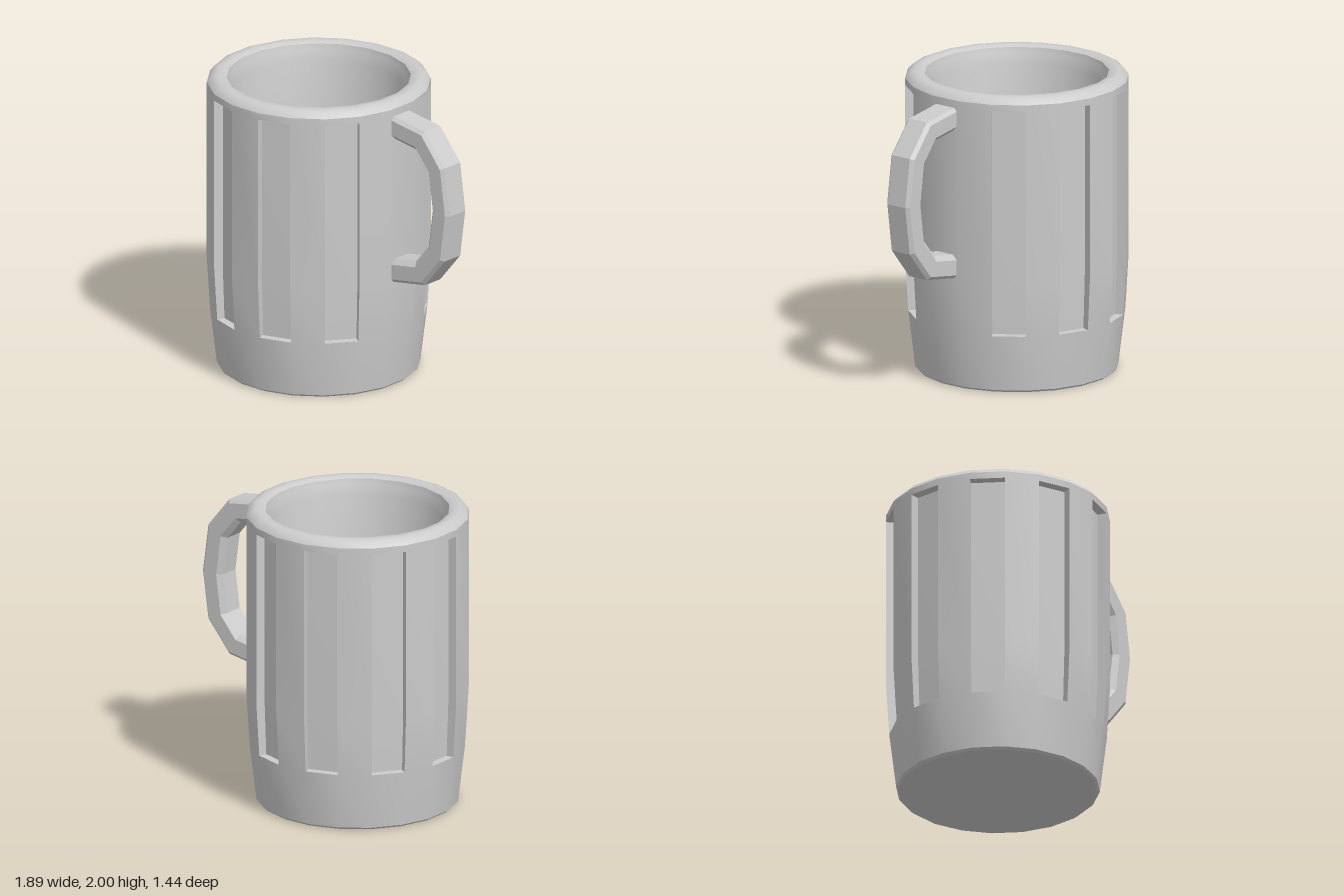
import * as THREE from 'three';
import { toCreasedNormals } from 'three/addons/utils/BufferGeometryUtils.js';

const SIDES = 20;
const STEP = (Math.PI * 2) / SIDES;
const CENTRE_X = -0.23;
const HANDLE_ANGLE = STEP; // the handle sits on the facet 18 degrees towards the front

// Adds two triangles (skipping collapsed ones) for a counter-clockwise quad.
function quad(out, a, b, c, d) {
  for (const [p, q, r] of [[a, b, c], [a, c, d]]) {
    if (p.distanceTo(q) < 1e-6 || q.distanceTo(r) < 1e-6 || r.distanceTo(p) < 1e-6) continue;
    for (const v of [p, q, r]) out.push(v.x, v.y, v.z);
  }
}

function makeMesh(name, positions, crease) {
  const geometry = new THREE.BufferGeometry();
  geometry.setAttribute('position', new THREE.Float32BufferAttribute(positions, 3));
  const mesh = new THREE.Mesh(
    toCreasedNormals(geometry, crease),
    new THREE.MeshStandardMaterial({ color: 0xcccccc })
  );
  mesh.name = name;
  return mesh;
}

// Mug body: a 20-sided turned profile whose alternate facets hold sunken panels.
function createBody() {
  const profile = [
    [0, 0], [0.645, 0], [0.663, 0.015], [0.708, 0.39], [0.729, 0.75], [0.729, 1.91],
    [0.729, 1.955], [0.705, 1.985], [0.67, 2], [0.625, 2], [0.6, 1.985], [0.592, 1.95],
    [0.568, 1.88], [0.565, 0.75], [0.505, 0.12],
  ];
  // domed inner floor
  for (let i = 1; i <= 6; i++) {
    const r = 0.505 * (1 - i / 6);
    profile.push([r, 0.12 + 0.18 * (1 - (r / 0.505) ** 2)]);
  }
  const panelRows = [3, 4]; // profile segments covered by the panels
  const depths = { 3: 0.055, 4: 0.065, 5: 0.065 };
  const positions = [];
  const point = (row, angle) => new THREE.Vector3(
    profile[row][0] * Math.cos(angle), profile[row][1], profile[row][0] * Math.sin(angle));

  for (let k = 0; k < SIDES; k++) {
    const mid = k * STEP;
    const a0 = mid - STEP / 2;
    const a1 = mid + STEP / 2;
    const hasPanel = k % 2 === 1 && k !== 1; // no panel behind the handle
    const normal = new THREE.Vector3(Math.cos(mid), 0, Math.sin(mid));
    const sunk = (row, angle) => point(row, angle).addScaledVector(normal, -depths[row]);

    for (let i = 0; i < profile.length - 1; i++) {
      const corner = hasPanel && panelRows.includes(i) ? sunk : point;
      quad(positions, corner(i, a0), corner(i + 1, a0), corner(i + 1, a1), corner(i, a1));
      if (corner === sunk) {
        // side walls of the panel
        quad(positions, point(i, a0), point(i + 1, a0), sunk(i + 1, a0), sunk(i, a0));
        quad(positions, sunk(i, a1), sunk(i + 1, a1), point(i + 1, a1), point(i, a1));
      }
    }
    if (hasPanel) {
      // bottom and top ledges of the panel
      quad(positions, point(3, a0), sunk(3, a0), sunk(3, a1), point(3, a1));
      quad(positions, sunk(5, a0), point(5, a0), point(5, a1), sunk(5, a1));
    }
  }
  return makeMesh('mugBody', positions, THREE.MathUtils.degToRad(32));
}

// Handle: a chamfered section swept with mitred joints along an angular path.
function createHandle() {
  const path = [
    [0.66, 1.835], [0.95, 1.79], [1.09, 1.62], [1.13, 1.33],
    [1.09, 1.04], [0.95, 0.872], [0.66, 0.825],
  ].map(([s, y]) => new THREE.Vector2(s, y));
  const section = [
    [-0.075, 0.078], [0.075, 0.078], [0.098, 0.055], [0.098, -0.045],
    [0.065, -0.078], [-0.065, -0.078], [-0.098, -0.045], [-0.098, 0.055],
  ];
  const out = new THREE.Vector3(Math.cos(HANDLE_ANGLE), 0, Math.sin(HANDLE_ANGLE));
  const side = new THREE.Vector3(-out.z, 0, out.x);

  const rings = path.map((p, i) => {
    const before = p.clone().sub(path[Math.max(i - 1, 0)]).normalize();
    const after = path[Math.min(i + 1, path.length - 1)].clone().sub(p).normalize();
    const t = before.clone().add(after).normalize();
    const reference = i === 0 ? after : before;
    const miter = 1 / t.dot(reference);
    return section.map(([u, v]) => new THREE.Vector3()
      .addScaledVector(out, p.x - t.y * v * miter)
      .addScaledVector(side, u)
      .setY(p.y + t.x * v * miter));
  });

  const positions = [];
  const n = section.length;
  for (let i = 0; i < rings.length - 1; i++) {
    for (let j = 0; j < n; j++) {
      const m = (j + 1) % n;
      quad(positions, rings[i][j], rings[i][m], rings[i + 1][m], rings[i + 1][j]);
    }
  }
  const handle = makeMesh('handle', positions, 0.01);
  handle.material.flatShading = true;
  return handle;
}

export function createModel() {
  const mug = new THREE.Group();
  mug.name = 'mug';
  mug.add(createBody(), createHandle());
  mug.position.x = CENTRE_X;
  const model = new THREE.Group();
  model.name = 'panelledMug';
  model.add(mug);
  return model;
}
